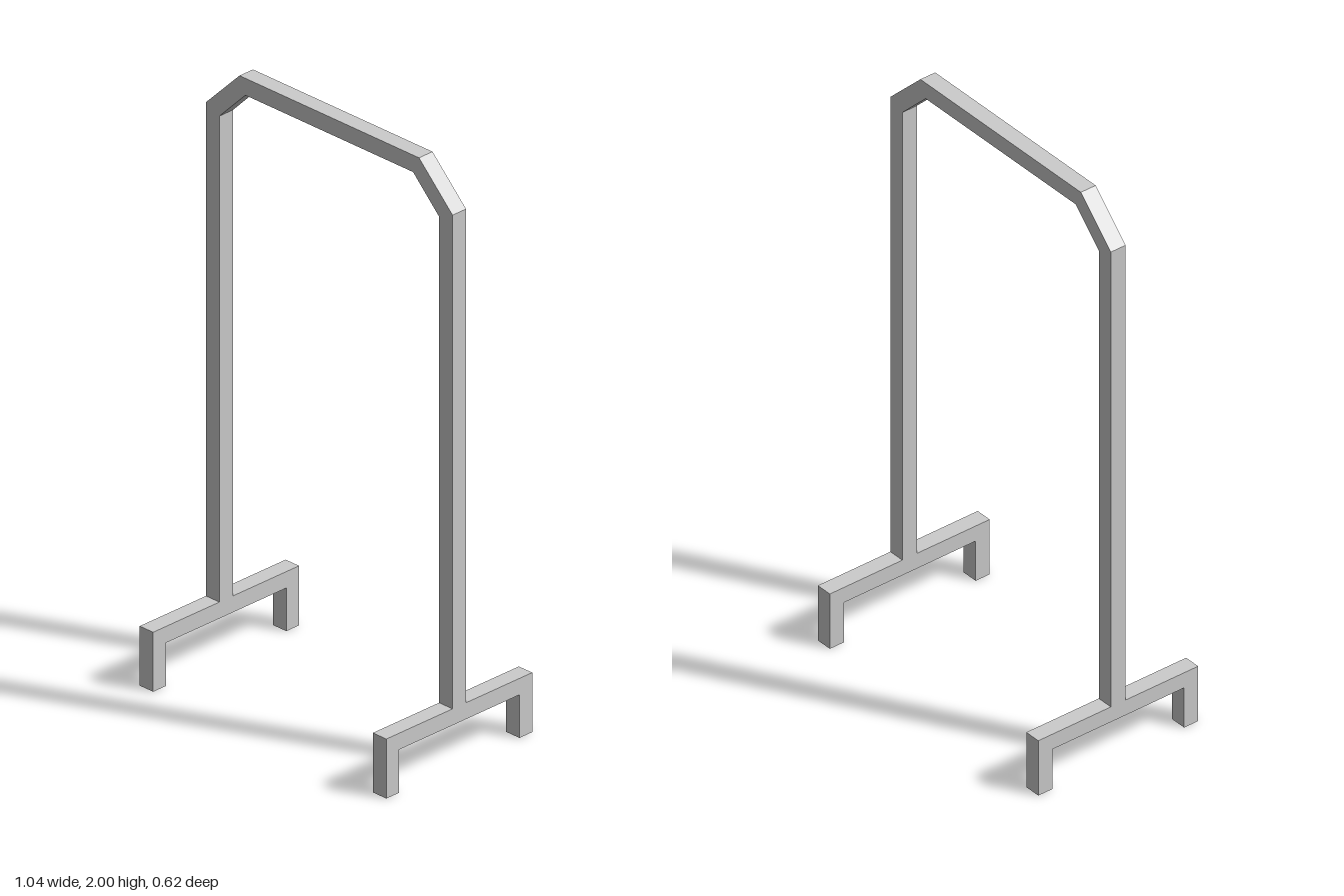
import * as THREE from 'three';

const W = 0.522;   // outer half width
const T = 0.057;   // tube thickness
const BASE = 0.2;  // height of the feet
const D = 0.308;   // half depth of the feet

// Extrudes a mirrored outline (given for its positive half, outer then inner) centred on its depth
function bentBar(outer, inner) {
  const mirror = (pts) => pts.map(([x, y]) => [-x, y]).reverse();
  const outline = [...outer, ...mirror(outer), ...mirror(inner).reverse(), ...inner.slice().reverse()];
  const shape = new THREE.Shape(outline.map(([x, y]) => new THREE.Vector2(x, y)));
  const geometry = new THREE.ExtrudeGeometry(shape, { depth: T, bevelEnabled: false });
  return geometry.translate(0, 0, -T / 2);
}

export function createModel() {
  const group = new THREE.Group();
  const material = new THREE.MeshStandardMaterial({ color: 0xcccccc, flatShading: true });
  const add = (name, geometry, x = 0) => {
    const mesh = new THREE.Mesh(geometry, material);
    mesh.name = name;
    mesh.position.x = x;
    group.add(mesh);
  };

  // Uprights, chamfered corners and top rail as one mitred bar
  add('hangingFrame', bentBar(
    [[W, BASE], [W, 1.859], [0.38, 2]],
    [[W - T, BASE], [W - T, 1.833], [0.355, 2 - T]],
  ));

  // Bridge-shaped foot under each upright, running front to back
  const foot = bentBar(
    [[D, 0], [D, BASE]],
    [[D - 0.054, 0], [D - 0.054, BASE - 0.055]],
  ).rotateY(Math.PI / 2);
  add('leftFoot', foot, W - T / 2);
  add('rightFoot', foot, -W + T / 2);

  return group;
}
